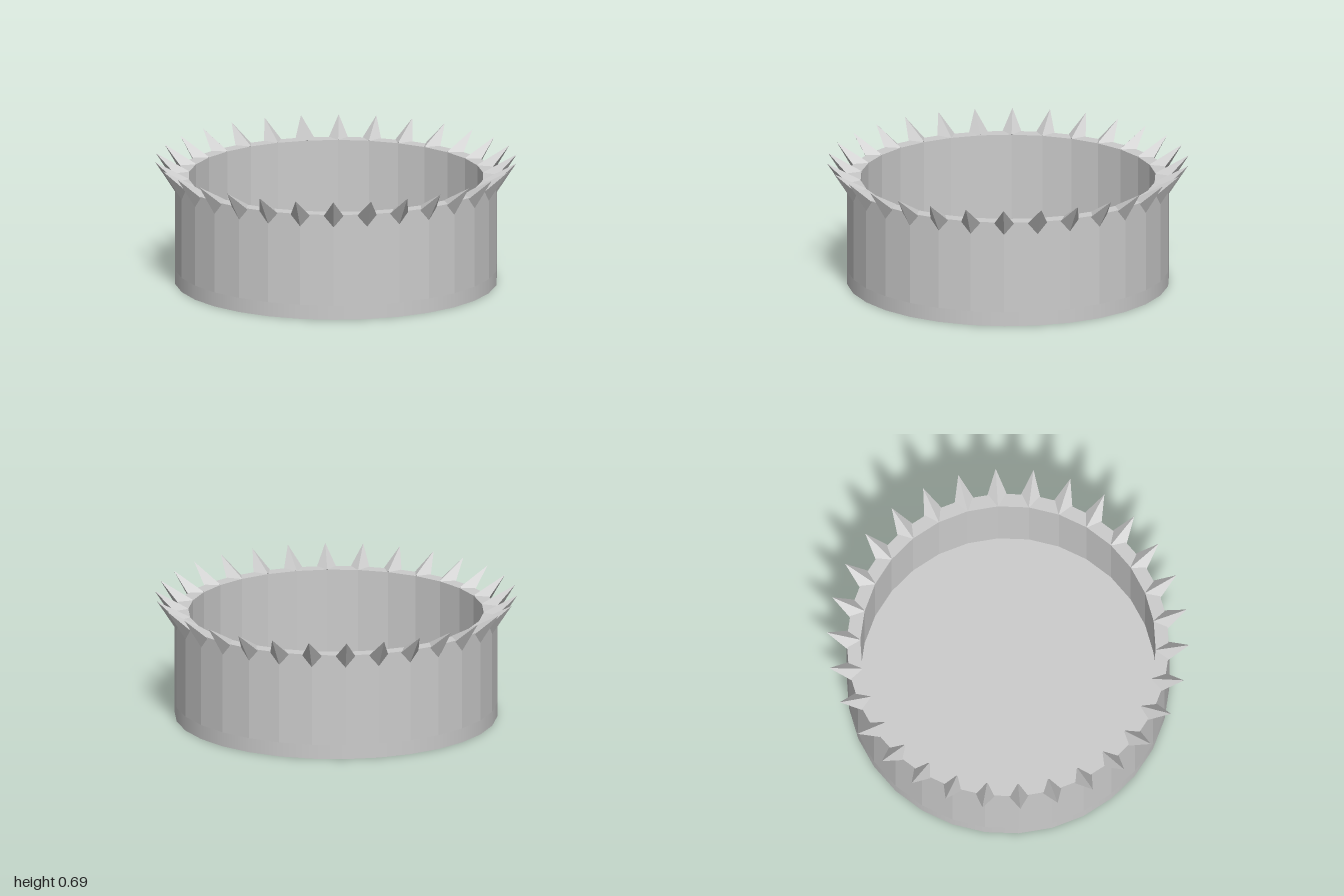
import * as THREE from 'three';

const SIDES = 30;
const OUTER = 0.89, INNER = 0.815, HEIGHT = 0.595, FLOOR = 0.08;

export function createModel() {
  const model = new THREE.Group();
  model.name = 'spikedDish';
  const smooth = new THREE.MeshStandardMaterial({ color: 0xcccccc });
  const flat = new THREE.MeshStandardMaterial({ color: 0xcccccc, flatShading: true });

  // Smooth-sided floor slab
  const floor = new THREE.Mesh(
    new THREE.CylinderGeometry(OUTER, OUTER, FLOOR, SIDES, 1, false, Math.PI / 2), smooth);
  floor.position.y = FLOOR / 2;
  floor.name = 'floor';
  model.add(floor);

  // Faceted ring wall: outside, flat rim, inside
  const profile = [[OUTER, FLOOR], [OUTER, HEIGHT], [INNER, HEIGHT], [INNER, FLOOR]]
    .map(([r, y]) => new THREE.Vector2(r, y));
  const wall = new THREE.Mesh(new THREE.LatheGeometry(profile, SIDES, Math.PI / 2), flat);
  wall.name = 'wall';
  model.add(wall);

  // Four-sided spike leaning outwards, its base sunk into the rim corner
  const base = new THREE.Vector2(0.8525, 0.56), tip = new THREE.Vector2(1, 0.695);
  const axis = tip.clone().sub(base);
  const spikeGeometry = new THREE.ConeGeometry(0.052, axis.length(), 4)
    .scale(1, 1, 1.33)
    .rotateZ(axis.angle() - Math.PI / 2)
    .translate((base.x + tip.x) / 2, (base.y + tip.y) / 2, 0);

  // One spike at every corner of the wall
  const spikes = new THREE.Group();
  spikes.name = 'spikes';
  for (let i = 0; i < SIDES; i++) {
    const spike = new THREE.Mesh(spikeGeometry, flat);
    spike.rotation.y = (i / SIDES) * Math.PI * 2;
    spike.name = 'spike';
    spikes.add(spike);
  }
  model.add(spikes);
  return model;
}
